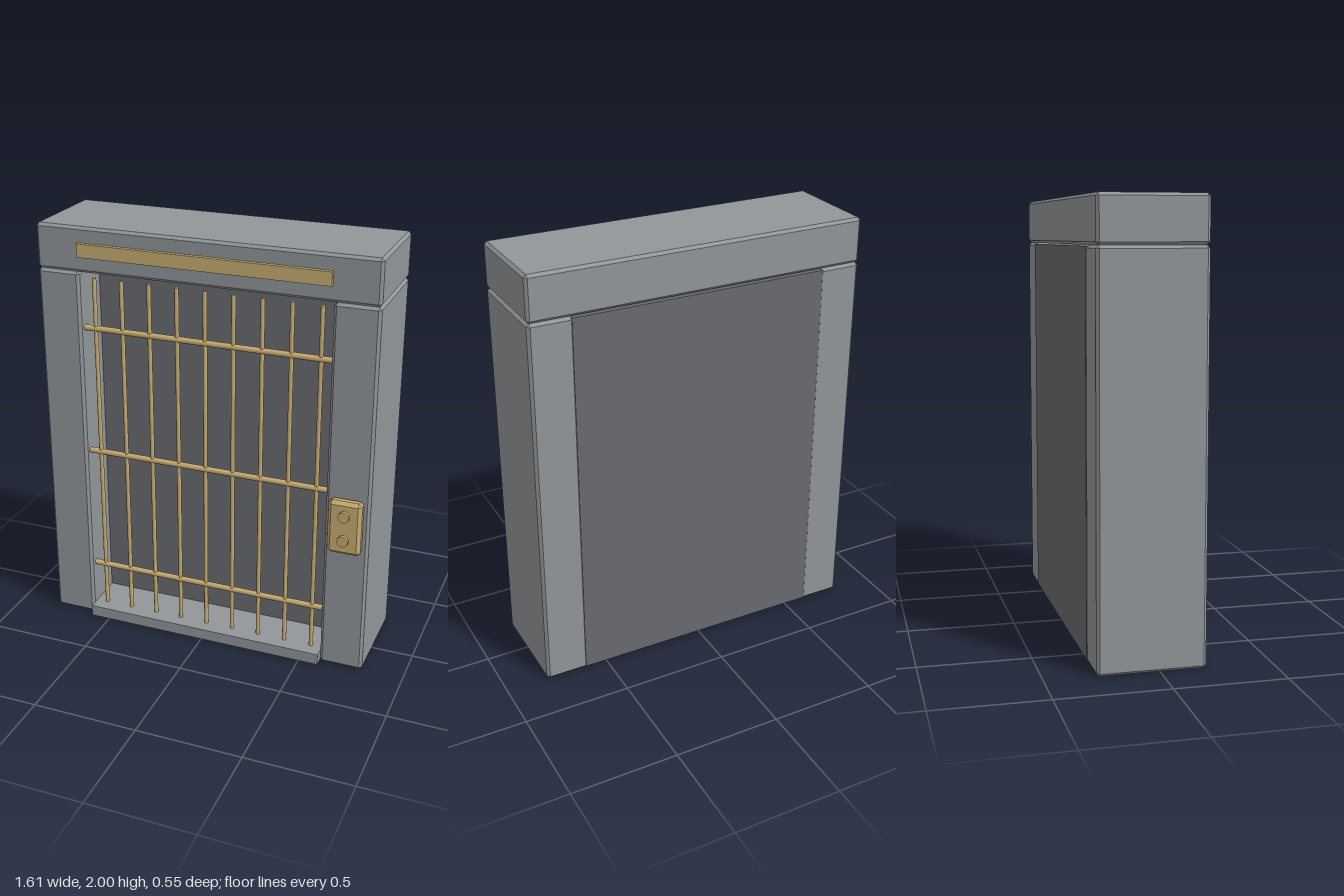
import * as THREE from 'three';
import { ConvexGeometry } from 'three/addons/geometries/ConvexGeometry.js';

// Box with chamfered edges, centred on the origin
function chamferBox(w, h, d, c) {
  const points = [];
  for (const sx of [-1, 1]) for (const sy of [-1, 1]) for (const sz of [-1, 1]) {
    for (let axis = 0; axis < 3; axis++) {
      const inset = [0, 1, 2].map((i) => (i === axis ? 0 : c));
      points.push(new THREE.Vector3(
        sx * (w / 2 - inset[0]), sy * (h / 2 - inset[1]), sz * (d / 2 - inset[2])));
    }
  }
  return new ConvexGeometry(points);
}

export function createModel() {
  const group = new THREE.Group();
  const material = (name, color) => {
    const m = new THREE.MeshStandardMaterial({ color });
    m.name = name;
    return m;
  };
  const steel = material('grey steel', 0x929699);
  const dark = material('dark interior', 0x6a6b70);
  const brass = material('brass', 0xc8ad72);

  const add = (name, geometry, mat, x, y, z) => {
    const mesh = new THREE.Mesh(geometry, mat);
    mesh.name = name;
    mesh.position.set(x, y, z);
    group.add(mesh);
    return mesh;
  };
  // Box given by its limits, with an optional chamfer
  const block = (name, mat, [x0, x1], [y0, y1], [z0, z1], chamfer = 0) => {
    const w = x1 - x0, h = y1 - y0, d = z1 - z0;
    const geometry = chamfer ? chamferBox(w, h, d, chamfer) : new THREE.BoxGeometry(w, h, d);
    return add(name, geometry, mat, (x0 + x1) / 2, (y0 + y1) / 2, (z0 + z1) / 2);
  };

  // Frame: two posts, header and sill
  block('leftPost', steel, [0.597, 0.803], [0, 1.79], [-0.275, 0.205], 0.013);
  block('rightPost', steel, [-0.803, -0.597], [0, 1.79], [-0.275, 0.205], 0.013);
  block('header', steel, [-0.803, 0.803], [1.79, 2], [-0.275, 0.205], 0.013);
  block('sill', steel, [-0.595, 0.595], [0, 0.055], [-0.08, 0.235]);

  // Dark core that closes the opening
  block('backPanel', dark, [-0.608, 0.608], [0.01, 1.785], [-0.277, 0]);

  // Trim strip on the header
  block('headerTrim', brass, [-0.592, 0.592], [1.865, 1.928], [0.195, 0.225]);

  // Folding gate: upright bars and cross rails
  const barZ = 0.165;
  const barGeometry = new THREE.CylinderGeometry(0.01, 0.01, 1.705, 10);
  for (let i = 0; i < 9; i++) {
    add('gateBar', barGeometry, brass, -0.54 + i * 0.135, 0.9075, barZ);
  }
  const railGeometry = new THREE.CylinderGeometry(0.014, 0.014, 1.19, 10);
  for (const y of [0.275, 0.895, 1.518]) {
    add('gateRail', railGeometry, brass, 0, y, barZ).rotation.z = Math.PI / 2;
  }

  // Call panel with two buttons
  block('callPanel', brass, [0.622, 0.778], [0.633, 0.896], [0.207, 0.262], 0.016);
  const buttonGeometry = new THREE.CylinderGeometry(0.026, 0.026, 0.03, 16);
  for (const y of [0.708, 0.828]) {
    add('callButton', buttonGeometry, brass, 0.7, y, 0.262).rotation.x = Math.PI / 2;
  }

  return group;
}
